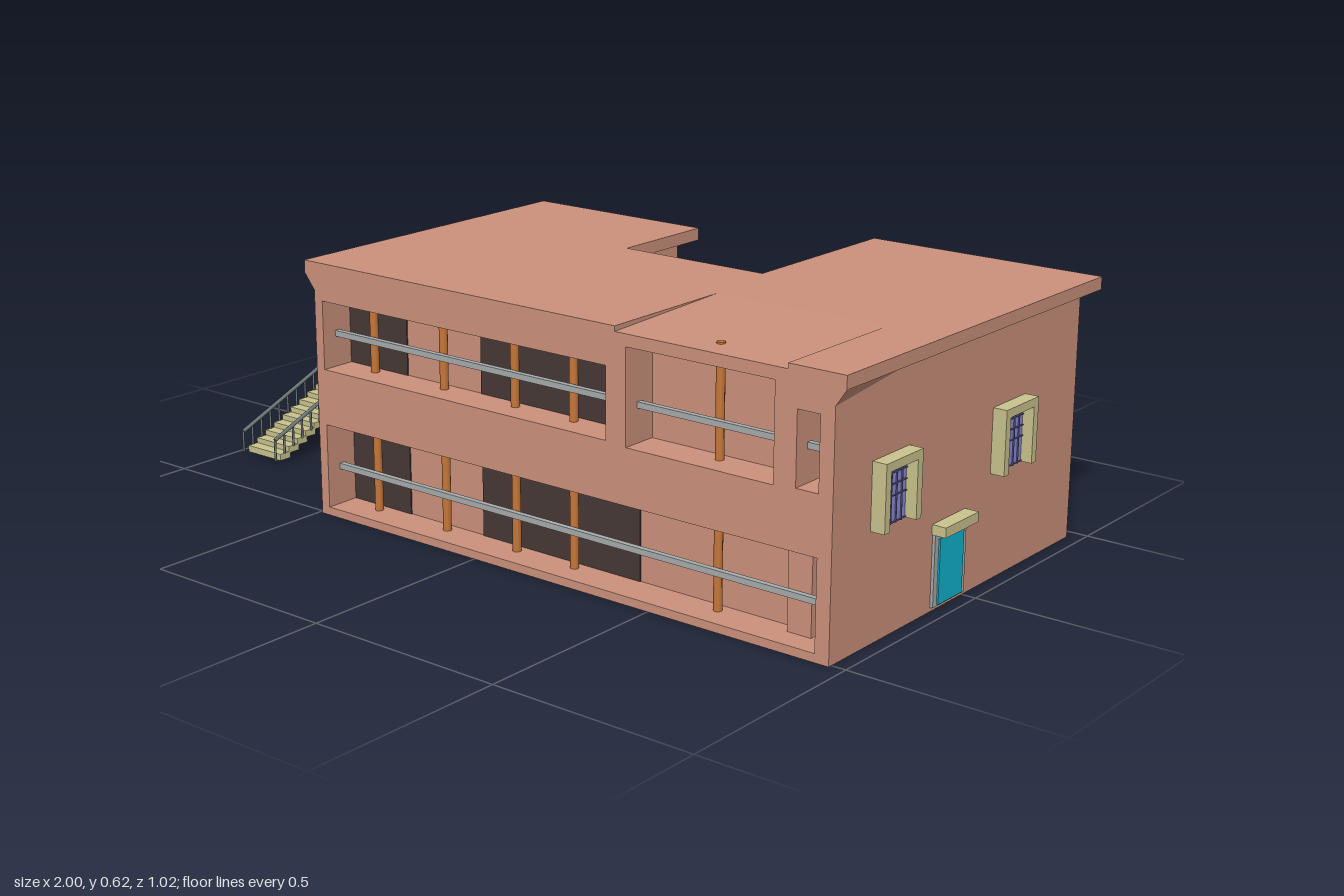
import * as THREE from 'three';
import { ConvexGeometry } from 'three/addons/geometries/ConvexGeometry.js';

const mat = (color) => new THREE.MeshStandardMaterial({ color });
const clay = mat(0xcc917c), khaki = mat(0xcac28e), cyan = mat(0x10b4d0), grey = mat(0xa8acac),
  orange = mat(0xc8783a), dark = mat(0x453836), railMat = mat(0x6c7a78), violet = mat(0x8c8cd4), lead = mat(0x5c5c98);
const V = (x, y, z) => new THREE.Vector3(x, y, z);

function add(parent, name, geometry, material) {
  const m = new THREE.Mesh(geometry, material);
  m.name = name;
  parent.add(m);
  return m;
}

// Box given by its limits on each axis
function block(parent, name, material, x0, x1, y0, y1, z0, z1) {
  const g = new THREE.BoxGeometry(x1 - x0, y1 - y0, z1 - z0);
  g.translate((x0 + x1) / 2, (y0 + y1) / 2, (z0 + z1) / 2);
  return add(parent, name, g, material);
}

// Round bar between two points
function bar(parent, name, material, a, b, r = 0.004) {
  const m = add(parent, name, new THREE.CylinderGeometry(r, r, a.distanceTo(b), 8), material);
  m.position.copy(a).lerp(b, 0.5);
  m.quaternion.setFromUnitVectors(V(0, 1, 0), b.clone().sub(a).normalize());
  return m;
}

// Handrail with balusters from a to b (points on the floor)
function railing(parent, a, b, h, count) {
  const g = new THREE.Group();
  g.name = 'railing';
  const up = V(0, h, 0);
  bar(g, 'handrail', railMat, a.clone().add(up), b.clone().add(up), 0.005);
  for (let i = 0; i <= count; i++) {
    const p = a.clone().lerp(b, i / count);
    bar(g, 'baluster', railMat, p, p.clone().add(up), 0.003);
  }
  parent.add(g);
}

// Horizontal plan outline of [x, z] corners, extruded from y0 to y1
function slab(parent, name, pts, y0, y1) {
  const s = new THREE.Shape(pts.map(([x, z]) => new THREE.Vector2(x, -z)));
  const g = new THREE.ExtrudeGeometry(s, { depth: y1 - y0, bevelEnabled: false });
  g.rotateX(-Math.PI / 2).translate(0, y0, 0);
  return add(parent, name, g, clay);
}

// Straight flight descending along local +z, centred on x = 0
function stairs(name, w, run, y0, y1, n) {
  const g = new THREE.Group();
  g.name = name;
  const rise = (y1 - y0) / n, going = run / n;
  for (let i = 0; i < n; i++) {
    const top = y1 - i * rise;
    block(g, 'step', khaki, -w / 2, w / 2, top - rise * 1.25, top, i * going, (i + 1.15) * going);
  }
  for (const s of [-1, 1]) railing(g, V(s * w / 2, y1 - rise, 0), V(s * w / 2, y0, run + 0.02), 0.055, n);
  return g;
}

// Arched window with a deep surround, facing local +z
function makeWindow() {
  const g = new THREE.Group();
  g.name = 'window';
  for (const s of [-1, 1]) block(g, 'jamb', khaki, s * 0.059 - 0.0095, s * 0.059 + 0.0095, 0, 0.13, 0, 0.034);
  block(g, 'lintel', khaki, -0.0685, 0.0685, 0.13, 0.15, 0, 0.034);
  const s = new THREE.Shape();
  s.moveTo(-0.047, 0).lineTo(0.047, 0).lineTo(0.047, 0.115).quadraticCurveTo(0, 0.145, -0.047, 0.115);
  const pane = new THREE.ExtrudeGeometry(s, { depth: 0.008, bevelEnabled: false, curveSegments: 8 });
  add(g, 'pane', pane, violet);
  for (const x of [-0.03, -0.01, 0.01, 0.03]) block(g, 'muntin', lead, x - 0.0012, x + 0.0012, 0, 0.12, 0.008, 0.011);
  for (const y of [0.002, 0.06, 0.085, 0.11]) block(g, 'muntin', lead, -0.047, 0.047, y, y + 0.0025, 0.008, 0.011);
  return g;
}

// Door with frame and lintel, facing local +z
function makeDoor(h, w) {
  const g = new THREE.Group();
  g.name = 'door';
  block(g, 'frame', grey, -w / 2, w / 2, 0, h, 0, 0.007);
  block(g, 'leaf', cyan, -w / 2 + 0.015, w / 2 - 0.015, 0.004, h - 0.012, 0, 0.011);
  block(g, 'doorLintel', khaki, -w / 2 - 0.003, w / 2 + 0.003, h, h + 0.023, 0, 0.034);
  return g;
}

export function createModel() {
  const root = new THREE.Group();
  root.name = 'house';
  const place = (o, x, y, z, ry) => {
    o.position.set(x, y, z);
    o.rotation.y = ry;
    root.add(o);
  };

  // Walls with two rear wings
  slab(root, 'walls', [[-0.49, 0.42], [0.965, 0.42], [0.965, -0.465], [0.41, -0.465], [0.41, -0.01],
    [-0.045, -0.01], [-0.045, -0.29], [-0.49, -0.29]], 0, 0.585);

  // Front facade with veranda openings
  const rect = (P, x0, x1, y0, y1) => new P().moveTo(x0, y0).lineTo(x1, y0).lineTo(x1, y1).lineTo(x0, y1).closePath();
  const face = rect(THREE.Shape, -0.49, 0.965, 0, 0.585);
  face.holes = [[-0.465, 0.93, 0.02, 0.225], [-0.465, 0.385, 0.36, 0.525], [0.44, 0.82, 0.355, 0.575], [0.875, 0.93, 0.36, 0.525]]
    .map((r) => rect(THREE.Path, ...r));
  const front = new THREE.ExtrudeGeometry(face, { depth: 0.09, bevelEnabled: false });
  front.translate(0, 0, 0.42);
  add(root, 'frontFacade', front, clay);
  block(root, 'verandaPier', clay, 0.82, 0.88, 0.02, 0.225, 0.42, 0.45);

  // Dark bays, rails and columns inside the openings
  for (const [y0, y1, end] of [[0.02, 0.225, 0.41], [0.36, 0.525, 0.385]])
    for (const [x0, x1] of [[-0.465, -0.28], [-0.05, end], [0.88, 0.93]])
      block(root, 'darkBay', dark, x0, x1, y0, y1, 0.415, 0.423);
  for (const [x0, x1, y] of [[-0.465, 0.93, 0.113], [-0.465, 0.385, 0.44], [0.44, 0.82, 0.44], [0.875, 0.93, 0.44]])
    block(root, 'verandaRail', grey, x0, x1, y - 0.007, y + 0.007, 0.458, 0.472);
  for (const x of [-0.36, -0.14, 0.075, 0.245, 0.64]) {
    bar(root, 'column', orange, V(x, 0.02, 0.448), V(x, 0.225, 0.448), 0.01);
    bar(root, 'column', orange, V(x, 0.355, 0.448), V(x, x > 0.5 ? 0.609 : 0.525, 0.448), 0.01);
  }

  // Overhanging roof with a gently sloping panel over the front bay
  slab(root, 'roof', [[-0.52, 0.51], [0.41, 0.51], [0.41, 0.15], [0.85, 0.15], [0.85, 0.51], [0.99, 0.51],
    [0.99, -0.515], [0.38, -0.515], [0.38, -0.055], [-0.015, -0.055], [-0.015, -0.335], [-0.52, -0.335]], 0.585, 0.615);
  const panel = block(root, 'slopingRoofPanel', clay, 0.41, 0.85, 0.585, 0.615, 0.15, 0.51);
  const p = panel.geometry.attributes.position;
  for (let i = 0; i < p.count; i++) if (p.getY(i) > 0.6 && p.getZ(i) > 0.3) p.setY(i, 0.603);
  panel.geometry.computeVertexNormals();

  // Tapering eave brackets on both sides
  for (const [wall, eave] of [[0.965, 0.99], [-0.49, -0.52]])
    add(root, 'eaveBracket', new ConvexGeometry([V(wall, 0.548, 0.51), V(eave, 0.585, 0.51),
      V(wall, 0.585, 0.51), V(wall, 0.585, 0.16)]), clay);

  // Windows
  const R = Math.PI / 2;
  for (const [x, z, ry] of [[0.965, 0.303, R], [0.965, -0.168, R], [-0.49, 0.07, -R], [-0.49, 0.302, -R],
    [0.79, -0.465, 2 * R], [0.51, -0.465, 2 * R], [-0.375, -0.29, 2 * R]])
    place(makeWindow(), x, 0.25, z, ry);

  // Doors
  place(makeDoor(0.165, 0.126), 0.965, 0.01, 0.067, R);
  place(makeDoor(0.137, 0.105), 0.63, 0.012, -0.465, 2 * R);
  place(makeDoor(0.137, 0.105), -0.155, 0.012, -0.29, 2 * R);
  place(makeDoor(0.137, 0.105), 0.41, 0.012, -0.39, -R);
  place(makeDoor(0.11, 0.1), -0.49, 0.232, -0.19, -R);

  // Side balcony with railings
  block(root, 'balcony', clay, -0.978, -0.49, 0.14, 0.232, -0.28, -0.09);
  railing(root, V(-0.995, 0.225, -0.278), V(-0.49, 0.225, -0.278), 0.053, 11);
  railing(root, V(-0.84, 0.225, -0.1), V(-0.49, 0.225, -0.1), 0.04, 8);
  railing(root, V(-0.995, 0.225, -0.278), V(-0.995, 0.225, -0.163), 0.053, 3);
  bar(root, 'handrail', railMat, V(-0.995, 0.278, -0.163), V(-0.955, 0.278, -0.163), 0.005);
  bar(root, 'handrail', railMat, V(-0.84, 0.265, -0.1), V(-0.84, 0.27, -0.163), 0.005);

  // Outer flights
  place(stairs('balconyStairs', 0.118, 0.48, 0.012, 0.228, 16), -0.898, 0, -0.163, 0);
  place(stairs('courtyardStairs', 0.118, 0.4, 0.015, 0.25, 14), 0.41, 0, -0.15, -R);
  return root;
}
